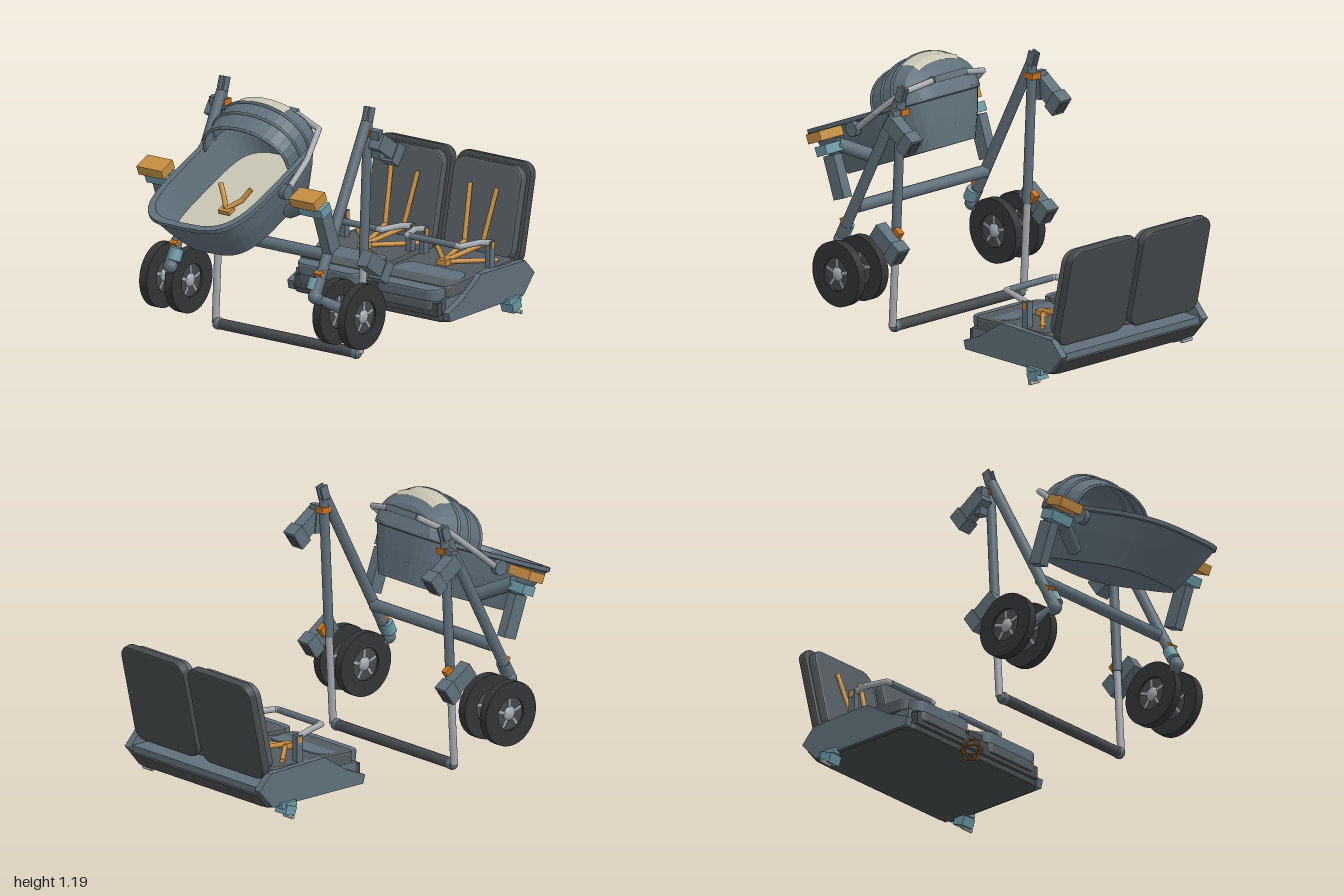
import * as THREE from 'three';

const mat = (name, color, side = THREE.FrontSide) => {
  const m = new THREE.MeshStandardMaterial({ color, side });
  m.name = name;
  return m;
};
const V = (x, y, z) => new THREE.Vector3(x, y, z);

export function createModel() {
  const root = new THREE.Group();
  root.name = 'modularStroller';
  const slate = mat('slate', 0x5f6f7a, THREE.DoubleSide);
  const cushionGrey = mat('cushionGrey', 0x535b60);
  const darkGrey = mat('darkGrey', 0x45494c);
  const rubber = mat('rubber', 0x323436);
  const silver = mat('silver', 0xa3a8ad);
  const cream = mat('cream', 0xc8c4b2, THREE.DoubleSide);
  const amber = mat('amber', 0xc48d42);
  const orange = mat('orange', 0xc56f1c);
  const ringBrown = mat('ringBrown', 0x9c5a1e);
  const teal = mat('teal', 0x6b98a5);

  const add = (parent, name, geo, m, p = [0, 0, 0], rz = 0) => {
    const mesh = new THREE.Mesh(geo, m);
    mesh.name = name;
    mesh.position.set(...p);
    mesh.rotation.z = rz;
    parent.add(mesh);
    return mesh;
  };
  const box = (parent, name, size, p, m, rz = 0) =>
    add(parent, name, new THREE.BoxGeometry(...size), m, p, rz);
  const ball = (parent, name, r, p, m) => add(parent, name, new THREE.SphereGeometry(r, 16, 12), m, p);
  // round bar between two points
  const bar = (parent, name, a, b, r, m) => {
    const s = V(...a), d = V(...b).sub(s);
    const mesh = add(parent, name, new THREE.CylinderGeometry(r, r, d.length(), 14), m,
      s.clone().addScaledVector(d, 0.5).toArray());
    mesh.quaternion.setFromUnitVectors(V(0, 1, 0), d.normalize());
    return mesh;
  };
  const path = (parent, name, pts, r, m) => pts.slice(1).forEach((p, i) => {
    bar(parent, name, pts[i], p, r, m);
    if (i) ball(parent, name + 'Joint', r, pts[i], m);
  });
  // rounded slab lying in the XY plane, thickness t along z
  const slab = (w, h, t, r) => {
    const s = new THREE.Shape(), x = w / 2 - 0.01, y = h / 2 - 0.01;
    s.moveTo(-x + r, -y);
    s.absarc(x - r, -y + r, r, -Math.PI / 2, 0);
    s.absarc(x - r, y - r, r, 0, Math.PI / 2);
    s.absarc(-x + r, y - r, r, Math.PI / 2, Math.PI);
    s.absarc(-x + r, -y + r, r, Math.PI, Math.PI * 1.5);
    return new THREE.ExtrudeGeometry(s, { depth: t - 0.02, bevelSize: 0.01, bevelThickness: 0.01, bevelSegments: 2, curveSegments: 6 })
      .translate(0, 0, 0.01 - t / 2);
  };
  // faceted skin over rows of points
  const skin = rows => {
    const pos = [], idx = [], n = rows[0].length;
    rows.forEach(r => r.forEach(p => pos.push(p.x, p.y, p.z)));
    for (let i = 0; i < rows.length - 1; i++) for (let j = 0; j < n - 1; j++) {
      const a = i * n + j, b = a + n;
      idx.push(a, b, a + 1, a + 1, b, b + 1);
    }
    const g = new THREE.BufferGeometry();
    g.setAttribute('position', new THREE.Float32BufferAttribute(pos, 3));
    g.setIndex(idx);
    const flat = g.toNonIndexed();
    flat.computeVertexNormals();
    return flat;
  };

  // ---- double seat ----
  const seats = new THREE.Group();
  seats.name = 'doubleSeat';
  root.add(seats);
  const mid = 0.035;
  box(seats, 'seatTray', [0.54, 0.085, 0.84], [0.62, 0.135, mid], slate);
  box(seats, 'rearLedge', [0.06, 0.03, 0.84], [0.91, 0.163, mid], slate);
  box(seats, 'rearSkirt', [0.012, 0.085, 0.86], [0.912, 0.113, mid], darkGrey, -0.7);
  add(seats, 'seatUnderside', slab(0.56, 0.88, 0.035, 0.05).rotateX(Math.PI / 2), darkGrey, [0.61, 0.088, mid]);
  box(seats, 'frontApron', [0.06, 0.06, 0.8], [0.345, 0.13, mid], darkGrey);
  box(seats, 'centreFiller', [0.2, 0.04, 0.09], [0.43, 0.175, mid], darkGrey);
  const panel = new THREE.Shape([[0.34, 0.08], [0.877, 0.08], [0.957, 0.17], [0.89, 0.24], [0.57, 0.25], [0.44, 0.165], [0.33, 0.12]]
    .map(p => new THREE.Vector2(...p)));
  for (const s of [-1, 1]) {
    add(seats, 'sidePanel', new THREE.ExtrudeGeometry(panel, { depth: 0.035, bevelEnabled: false }), slate,
      [0, 0, mid + s * 0.435 - 0.0175]);
    box(seats, 'mountFoot', [0.06, 0.045, 0.07], [0.795, 0.055, mid + s * 0.445], teal, 0.35);
    box(seats, 'mountFlange', [0.09, 0.025, 0.04], [0.795, 0.08, mid + s * 0.45], teal);
    bar(seats, 'mountPin', [0.8, 0.03, mid + s * 0.44], [0.8, 0.03, mid + s * 0.5], 0.009, silver);
  }
  for (const s of [-1, 1]) {
    const seat = new THREE.Group();
    seat.name = s > 0 ? 'leftSeat' : 'rightSeat';
    seat.position.z = mid + s * 0.222;
    seats.add(seat);
    add(seat, 'backShell', slab(0.42, 0.47, 0.045, 0.05).rotateY(Math.PI / 2), darkGrey, [0.938, 0.435, 0], -0.22);
    add(seat, 'backPad', slab(0.385, 0.43, 0.045, 0.05).rotateY(Math.PI / 2), cushionGrey, [0.898, 0.44, 0], -0.22);
    add(seat, 'rearCushion', slab(0.5, 0.41, 0.06, 0.04).rotateX(Math.PI / 2), cushionGrey, [0.61, 0.215, 0], 0.05);
    add(seat, 'frontCushion', slab(0.26, 0.36, 0.06, 0.05).rotateX(Math.PI / 2), slate, [0.435, 0.205, 0], 0.12);
    add(seat, 'legCushion', slab(0.24, 0.35, 0.05, 0.05).rotateX(Math.PI / 2), cushionGrey, [0.425, 0.15, 0], 0.05);
    // bumper bar with a padded grip
    for (const k of [-1, 1]) {
      box(seat, 'bumperPost', [0.035, 0.13, 0.03], [0.69, 0.305, k * 0.185], slate);
      box(seat, 'bumperLatch', [0.02, 0.03, 0.034], [0.69, 0.35, k * 0.185], amber);
      path(seat, 'bumperArm', [[0.69, 0.36, k * 0.185], [0.62, 0.375, k * 0.18], [0.52, 0.375, k * 0.15], [0.52, 0.375, k * 0.12]],
        0.014, silver);
    }
    bar(seat, 'bumperGrip', [0.52, 0.375, -0.13], [0.52, 0.375, 0.13], 0.015, slate);
    // harness
    box(seat, 'buckle', [0.05, 0.025, 0.05], [0.6, 0.26, 0], amber);
    for (const k of [-1, 1]) {
      path(seat, 'shoulderStrap', [[0.6, 0.265, 0], [0.81, 0.3, k * 0.05], [0.885, 0.55, k * 0.075]], 0.011, amber);
      bar(seat, 'lapStrap', [0.6, 0.26, 0], [0.77, 0.26, k * 0.17], 0.011, amber);
    }
  }

  // ---- ring marker: three crossed hoops ----
  const hoops = new THREE.Group();
  hoops.name = 'crossedHoops';
  hoops.position.set(0.26, 0.054, -0.066);
  root.add(hoops);
  for (const r of [[0, 0, 0], [Math.PI / 2, 0, 0], [0, Math.PI / 2, 0]])
    add(hoops, 'hoop', new THREE.TorusGeometry(0.049, 0.004, 8, 32), ringBrown).rotation.set(...r);

  // ---- wheels ----
  const ringShape = new THREE.Shape().absarc(0, 0, 0.149, 0, Math.PI * 2);
  ringShape.holes.push(new THREE.Path().absarc(0, 0, 0.076, 0, Math.PI * 2, true));
  const tyre = new THREE.ExtrudeGeometry(ringShape, { depth: 0.042, bevelEnabled: false, curveSegments: 20 }).translate(0, 0, -0.021);
  const wheel = (parent, z) => {
    const w = new THREE.Group();
    w.name = 'wheel';
    w.position.set(-0.396, 0.287, z);
    parent.add(w);
    add(w, 'tyre', tyre, rubber);
    add(w, 'rimDisc', new THREE.CylinderGeometry(0.077, 0.077, 0.02, 28).rotateX(Math.PI / 2), darkGrey);
    ball(w, 'hub', 0.036, [0, 0, 0], silver).scale.z = 0.7;
    for (let i = 0; i < 5; i++) {
      const a = i * Math.PI * 0.4 + 0.3;
      box(w, 'spoke', [0.045, 0.012, 0.026], [Math.cos(a) * 0.047, Math.sin(a) * 0.047, 0], silver, a);
    }
  };

  // ---- frame, both sides ----
  for (const s of [-1, 1]) {
    const f = new THREE.Group();
    f.name = s > 0 ? 'leftFrame' : 'rightFrame';
    root.add(f);
    const z = s * 0.406;
    bar(f, 'frontTube', [-0.165, 1.11, z], [-0.53, 0.41, z], 0.025, slate);
    bar(f, 'rearTube', [-0.155, 1.11, z], [-0.187, 0.46, z], 0.022, slate);
    bar(f, 'rearLowerTube', [-0.187, 0.46, z], [-0.21, 0.05, z], 0.017, silver);
    ball(f, 'rearFoot', 0.028, [-0.215, 0.048, s * 0.385], slate);
    for (const k of [-1, 1]) box(f, 'topPlate', [0.04, 0.13, 0.01], [-0.16, 1.11, z + k * 0.013], slate, -0.3);
    box(f, 'topCollar', [0.05, 0.028, 0.05], [-0.152, 1.06, z], orange);
    box(f, 'lowerCatch', [0.035, 0.025, 0.04], [-0.507, 0.485, z], orange, 0.5);
    // seat mounts on the rear tube
    for (const [x, y] of [[-0.1, 0.985], [-0.183, 0.46]]) {
      box(f, 'mountBracket', [0.16, 0.075, 0.06], [x, y, s * 0.46], slate, -0.6);
      box(f, 'mountSocket', [0.06, 0.095, 0.07], [x + 0.055, y - 0.04, s * 0.46], slate, -0.6);
      box(f, 'socketRecess', [0.005, 0.06, 0.045], [x + 0.08, y - 0.057, s * 0.46], darkGrey, -0.6);
    }
    box(f, 'upperBracketStem', [0.035, 0.13, 0.05], [-0.145, 1.01, s * 0.45], slate, 0.1);
    box(f, 'mountButton', [0.04, 0.05, 0.03], [-0.165, 0.49, s * 0.42], orange, -0.6);
    // swivel and wheel pair
    bar(f, 'swivelCollar', [-0.505, 0.46, z], [-0.54, 0.395, z], 0.028, slate);
    bar(f, 'swivelSleeve', [-0.512, 0.46, s * 0.388], [-0.537, 0.41, s * 0.388], 0.03, teal);
    ball(f, 'swivelBall', 0.033, [-0.54, 0.385, z], slate);
    bar(f, 'wheelFork', [-0.54, 0.38, z], [-0.42, 0.31, s * 0.465], 0.025, slate);
    bar(f, 'axle', [-0.396, 0.287, s * 0.505], [-0.396, 0.287, s * 0.555], 0.012, slate);
    bar(f, 'axleCollar', [-0.396, 0.287, s * 0.51], [-0.396, 0.287, s * 0.525], 0.03, slate);
    wheel(f, s * 0.556);
    wheel(f, s * 0.415);
    // carrycot adapter
    box(f, 'adapterPad', [0.09, 0.045, 0.14], [-0.62, 0.857, s * 0.427], amber, 0.4);
    box(f, 'adapterTeal', [0.07, 0.045, 0.13], [-0.575, 0.805, s * 0.43], teal, 0.4);
    box(f, 'adapterLink', [0.07, 0.2, 0.05], [-0.515, 0.69, s * 0.45], slate, 0.35);
    bar(f, 'cotArm', [-0.57, 0.82, s * 0.4], [-0.5, 0.74, s * 0.23], 0.032, slate);
  }
  bar(root, 'rearCrossbar', [-0.215, 0.048, -0.4], [-0.215, 0.048, 0.4], 0.025, darkGrey);
  bar(root, 'middleCrossbar', [-0.445, 0.555, -0.4], [-0.445, 0.555, 0.4], 0.028, slate);

  // ---- carrycot, tilted up toward the head end ----
  const cot = new THREE.Group();
  cot.name = 'carrycot';
  cot.rotation.z = 0.398;
  root.add(cot);
  const oval = (c, a, b, y) => Array.from({ length: 37 }, (_, i) => {
    const t = -i / 36 * Math.PI * 2, p = v => Math.sign(v) * Math.abs(v) ** 0.55;
    return V(c + a * p(Math.cos(t)), y, b * p(Math.sin(t)));
  });
  add(cot, 'cotShell', skin([oval(-0.197, 0.001, 0.001, 0.836), oval(-0.197, 0.31, 0.2, 0.836), oval(-0.215, 0.365, 0.245, 0.96),
    oval(-0.227, 0.4, 0.268, 1.05), oval(-0.227, 0.41, 0.276, 1.055), oval(-0.227, 0.41, 0.276, 1.074),
    oval(-0.227, 0.378, 0.247, 1.074), oval(-0.205, 0.325, 0.2, 0.9)]), slate);
  add(cot, 'mattress', skin([oval(-0.207, 0.35, 0.2, 0.925), oval(-0.207, 0.001, 0.001, 0.925)]), cream);
  box(cot, 'cotBuckle', [0.045, 0.02, 0.06], [-0.32, 0.94, 0], amber);
  for (const s of [-1, 1])
    path(cot, 'cotStrap', [[-0.32, 0.945, 0], [-0.26, 0.96, s * 0.05], [-0.22, 1.0, s * 0.085]], 0.012, amber);

  // hood: arched bands closing at the head end
  const arch = (u, w, h, a0, a1) => Array.from({ length: 17 }, (_, i) => {
    const t = a0 + (a1 - a0) * i / 16;
    return V(u, 1.065 + h * Math.sin(t) ** 0.8, w * Math.cos(t));
  });
  const end = Math.PI - 1e-6;
  const bands = [[-0.105, 0.232, 0.167], [-0.02, 0.24, 0.19], [0.05, 0.24, 0.2], [0.12, 0.225, 0.172], [0.165, 0.18, 0.11], [0.183, 0.12, 0]];
  add(cot, 'hood', skin(bands.map(b => arch(...b, 0, end))), slate);
  add(cot, 'hoodWindow', skin([[0.06, 0.243, 0.201], [0.123, 0.23, 0.177], [0.143, 0.21, 0.149]]
    .map(b => arch(...b, 0.95, Math.PI - 0.95))), cream);
  for (const [u, w, h] of bands.slice(0, 3))
    add(cot, 'hoodRib', new THREE.TubeGeometry(new THREE.CatmullRomCurve3(arch(u, w, h, 0, end)), 32, 0.007, 6), slate);

  // carry handle
  for (const s of [-1, 1]) {
    path(root, 'carryHandle', [[-0.59, 0.85, s * 0.278], [-0.44, 0.97, s * 0.282], [-0.31, 1.08, s * 0.25], [-0.27, 1.115, s * 0.1]], 0.014, silver);
    add(root, 'handlePivot', new THREE.CylinderGeometry(0.035, 0.035, 0.03, 16).rotateX(Math.PI / 2), slate, [-0.59, 0.86, s * 0.28]);
  }
  box(root, 'handleGrip', [0.035, 0.03, 0.2], [-0.27, 1.117, 0], slate, 0.4);
  return root;
}
